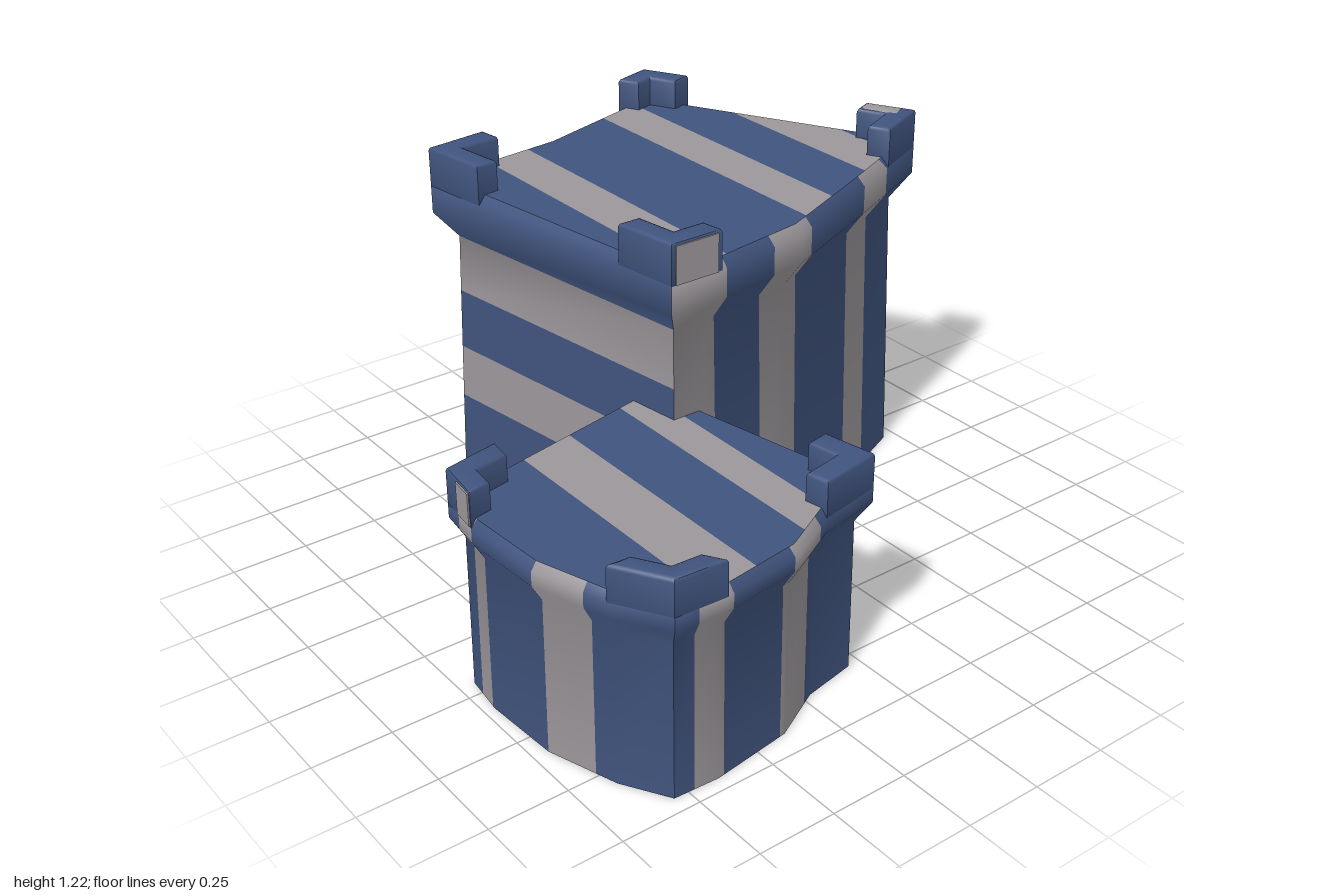
import * as THREE from 'three';
import { toCreasedNormals } from 'three/addons/utils/BufferGeometryUtils.js';

const blue = new THREE.MeshStandardMaterial({ color: 0x40547e, side: THREE.DoubleSide });
blue.name = 'slate blue';
const grey = new THREE.MeshStandardMaterial({ color: 0x9c979b, side: THREE.DoubleSide });
grey.name = 'stone grey';
const paints = [blue, grey];

// Bands alternate blue (0) and grey (1) along one axis, split at the cuts
const bands = (axis, first, ...cuts) => ({ axis, first, cuts });
const bandColor = (b, v) => (b.first + b.cuts.filter((c) => c < v).length) % 2;

// Mitred inward offset of an [x, z] outline
function inset(outline, d) {
  const n = outline.length;
  const normal = (i) => {
    const a = outline[(i + n) % n], b = outline[(i + 1) % n];
    const l = Math.hypot(b[0] - a[0], b[1] - a[1]);
    return [-(b[1] - a[1]) / l, (b[0] - a[0]) / l];
  };
  return outline.map((p, i) => {
    const m = normal(i - 1), k = normal(i);
    const s = d / (1 + m[0] * k[0] + m[1] * k[1]);
    return [p[0] - (m[0] + k[0]) * s, p[1] - (m[1] + k[1]) * s];
  });
}

// Keep the part of a polygon where sign * (z - cut) >= 0
function clipZ(poly, cut, sign) {
  const out = [];
  poly.forEach((p, i) => {
    const q = poly[(i + 1) % poly.length];
    const a = sign * (p[1] - cut), b = sign * (q[1] - cut);
    if (a >= 0) out.push(p);
    if (a * b < 0) {
      const t = a / (a - b);
      out.push([p[0] + (q[0] - p[0]) * t, cut]);
    }
  });
  return out;
}

function paintedMesh(name, lists) {
  const g = new THREE.BufferGeometry();
  g.setAttribute('position', new THREE.Float32BufferAttribute(lists.flat(), 3));
  g.addGroup(0, lists[0].length / 3, 0);
  g.addGroup(lists[0].length / 3, lists[1].length / 3, 1);
  const mesh = new THREE.Mesh(toCreasedNormals(g, 0.78), paints);
  mesh.name = name;
  return mesh;
}

function insetAt(profile, y) {
  const i = Math.max(1, profile.findIndex((p) => p[0] >= y - 1e-6));
  const [y0, d0] = profile[i - 1], [y1, d1] = profile[i];
  return d0 + (d1 - d0) * (y - y0) / (y1 - y0);
}

// Flared walls: each outline edge is cut into its own stripes
function walls(name, outline, profile, edgeBands) {
  const lists = [[], []];
  const top = profile[profile.length - 1][0];
  edgeBands.forEach((b, i) => {
    if (!b) return;
    const j = (i + 1) % outline.length;
    let ys = profile.map((p) => p[0]);
    let ts = [0, 1];
    const k = b.axis === 'x' ? 0 : 1;
    const s = outline[i][k], e = outline[j][k];
    if (b.axis === 'y') ys = ys.concat(b.cuts.filter((c) => c < top));
    else ts = ts.concat(b.cuts.map((c) => (c - s) / (e - s)).filter((t) => t > 0 && t < 1));
    ys = [...new Set(ys)].sort((a, c) => a - c);
    ts.sort((a, c) => a - c);
    const rings = ys.map((y) => inset(outline, insetAt(profile, y)));
    const at = (r, t) => {
      const p = rings[r][i], q = rings[r][j];
      return [p[0] + (q[0] - p[0]) * t, ys[r], p[1] + (q[1] - p[1]) * t];
    };
    for (let r = 0; r + 1 < ys.length; r++) {
      for (let c = 0; c + 1 < ts.length; c++) {
        const value = b.axis === 'y' ? (ys[r] + ys[r + 1]) / 2 : s + (e - s) * (ts[c] + ts[c + 1]) / 2;
        const [A, B, C, D] = [at(r, ts[c]), at(r, ts[c + 1]), at(r + 1, ts[c + 1]), at(r + 1, ts[c])];
        lists[bandColor(b, value)].push(...A, ...B, ...C, ...A, ...C, ...D);
      }
    }
  });
  return paintedMesh(name, lists);
}

// Flat striped roof
function roof(name, outline, y, b) {
  const lists = [[], []];
  const edges = [-2, ...b.cuts, 2];
  for (let i = 0; i + 1 < edges.length; i++) {
    const poly = clipZ(clipZ(outline, edges[i], 1), edges[i + 1], -1);
    if (poly.length < 3) continue;
    const pts = poly.map((p) => new THREE.Vector2(p[0], -p[1]));
    for (const tri of THREE.ShapeUtils.triangulateShape(pts, [])) {
      for (const v of tri) lists[(b.first + i) % 2].push(poly[v][0], y, poly[v][1]);
    }
  }
  return paintedMesh(name, lists);
}

// Bevelled upright block over an [x, z] footprint
function block(name, points, y0, y1, material) {
  const shape = new THREE.Shape(points.map((p) => new THREE.Vector2(p[0], -p[1])));
  const w = 0.012;
  const g = new THREE.ExtrudeGeometry(shape, {
    depth: y1 - y0 - w, bevelSize: w, bevelOffset: -w, bevelThickness: w, bevelSegments: 2,
  });
  g.rotateX(-Math.PI / 2).translate(0, y0, 0);
  const mesh = new THREE.Mesh(toCreasedNormals(g, 0.8), material);
  mesh.name = name;
  return mesh;
}

// L-shaped corner merlon: corner p with arms reaching a and b
function merlonPoints(p, a, b, t = 0.075) {
  const unit = (q) => {
    const l = Math.hypot(q[0] - p[0], q[1] - p[1]);
    return [(q[0] - p[0]) / l * t, (q[1] - p[1]) / l * t];
  };
  const u = unit(a), v = unit(b);
  return [p, a, [a[0] + v[0], a[1] + v[1]], [p[0] + u[0] + v[0], p[1] + u[1] + v[1]], [b[0] + u[0], b[1] + u[1]], b];
}

function tower(name, outline, profile, edgeBands, roofBands, merlons, merlonTop) {
  const group = new THREE.Group();
  group.name = name;
  const [topY, topInset] = profile[profile.length - 1];
  const rimY = profile[profile.length - 2][0];
  group.add(walls('walls', outline, profile, edgeBands));
  group.add(roof('roof', inset(outline, topInset), topY, roofBands));
  for (const m of merlons) group.add(block('merlon', merlonPoints(...m), rimY, merlonTop, blue));
  return group;
}

function plate(name, w, h, x, y, z, angle) {
  const mesh = new THREE.Mesh(new THREE.BoxGeometry(w, h, 0.008), grey);
  mesh.name = name;
  mesh.position.set(x, y, z);
  mesh.rotation.y = angle;
  return mesh;
}

export function createModel() {
  const model = new THREE.Group();
  model.name = 'twoTowers';

  // Tall tower
  const tall = [[-0.79, 0.43], [0.26, 0.28], [0.26, 0.1], [0.21, -0.24], [0.05, -0.62], [-0.12, -1], [-0.99, -0.54], [-0.84, -0.04]];
  const tallProfile = [[0, 0.035], [0.92, 0.055], [1.0, 0], [1.09, 0], [1.12, 0.025]];
  const front = bands('y', 0, 0.35, 0.53, 0.73, 0.92);
  const side = bands('z', 0, -0.8, -0.64, -0.3, -0.12, 0.08);
  const back = bands('y', 1, 0.2, 0.36, 0.52, 0.87, 0.93);
  const left = bands('y', 1, 0.06, 0.41, 0.59, 0.8, 1.0);
  const tallTower = tower('tallTower', tall, tallProfile,
    [front, side, side, side, side, back, left, left],
    bands('z', 0, -0.86, -0.68, -0.46, -0.3, 0.06, 0.22),
    [
      [[-0.79, 0.43], [-0.56, 0.397], [-0.813, 0.22]],
      [[0.26, 0.28], [0.26, 0.1], [0.05, 0.31]],
      [[-0.12, -1], [-0.27, -0.92], [-0.035, -0.81]],
      [[-0.99, -0.54], [-0.95, -0.407], [-0.84, -0.619]],
    ], 1.22);
  // Grey painted faces on two merlons
  tallTower.add(plate('merlonPaint', 0.15, 0.12, 0.26, 1.15, 0.19, Math.PI / 2));
  tallTower.add(plate('merlonPaint', 0.14, 0.12, -0.2, 1.15, -0.957, Math.PI + 0.486));
  tallTower.add(block('merlonCap', [[-0.262, -0.915], [-0.15, -0.975], [-0.12, -0.92], [-0.235, -0.86]], 1.13, 1.223, grey));

  // Arched door on the side wall
  const arch = new THREE.Shape();
  arch.moveTo(-0.09, 0.13);
  arch.lineTo(0.09, 0.13);
  arch.lineTo(0.09, 0.19);
  arch.absarc(0, 0.19, 0.09, 0, Math.PI);
  const foot = inset(tall, 0.039);
  const [p, q] = [foot[7], foot[0]];
  const door = new THREE.Mesh(new THREE.ExtrudeGeometry(arch, { depth: 0.009, bevelEnabled: false, curveSegments: 10 }).translate(0, 0, -0.0045), grey);
  door.name = 'archedDoor';
  door.position.set(p[0] + (q[0] - p[0]) * 0.27, 0, p[1] + (q[1] - p[1]) * 0.27);
  door.rotation.y = Math.atan2(-(q[1] - p[1]), q[0] - p[0]);
  tallTower.add(door);

  // Short tower, left open where it runs into the tall one
  const short = [[0.17, 0.98], [0.33, 1], [0.59, 0.985], [0.82, 0.91], [0.98, 0.815], [0.988, 0.65], [0.95, 0.38], [0.86, 0.21], [0.82, 0.005], [0.18, 0.13], [0.02, 0.25]];
  const shortProfile = [[0, 0.033], [0.5, 0.035], [0.56, 0], [0.605, 0], [0.63, 0.02]];
  const sFront = bands('x', 0, 0.24, 0.32, 0.59, 0.75);
  const sSide = bands('z', 0, 0.25, 0.4, 0.63, 0.74);
  const shortTower = tower('shortTower', short, shortProfile,
    [sFront, sFront, sFront, sFront, sSide, sSide, sSide, sSide,
      bands('y', 0, 0.2, 0.3, 0.48, 0.58), null, bands('y', 0, 0.08, 0.25, 0.45, 0.58)],
    bands('z', 0, 0.2, 0.32, 0.53, 0.71),
    [
      [[0.17, 0.98], [0.32, 0.998], [0.133, 0.8]],
      [[0.98, 0.815], [0.988, 0.65], [0.82, 0.91]],
      [[0.82, 0.005], [0.65, 0.038], [0.86, 0.21]],
    ], 0.72);
  shortTower.add(plate('merlonPaint', 0.075, 0.1, 0.277, 0.66, 0.993, -0.124));

  model.add(tallTower, shortTower);
  return model;
}
